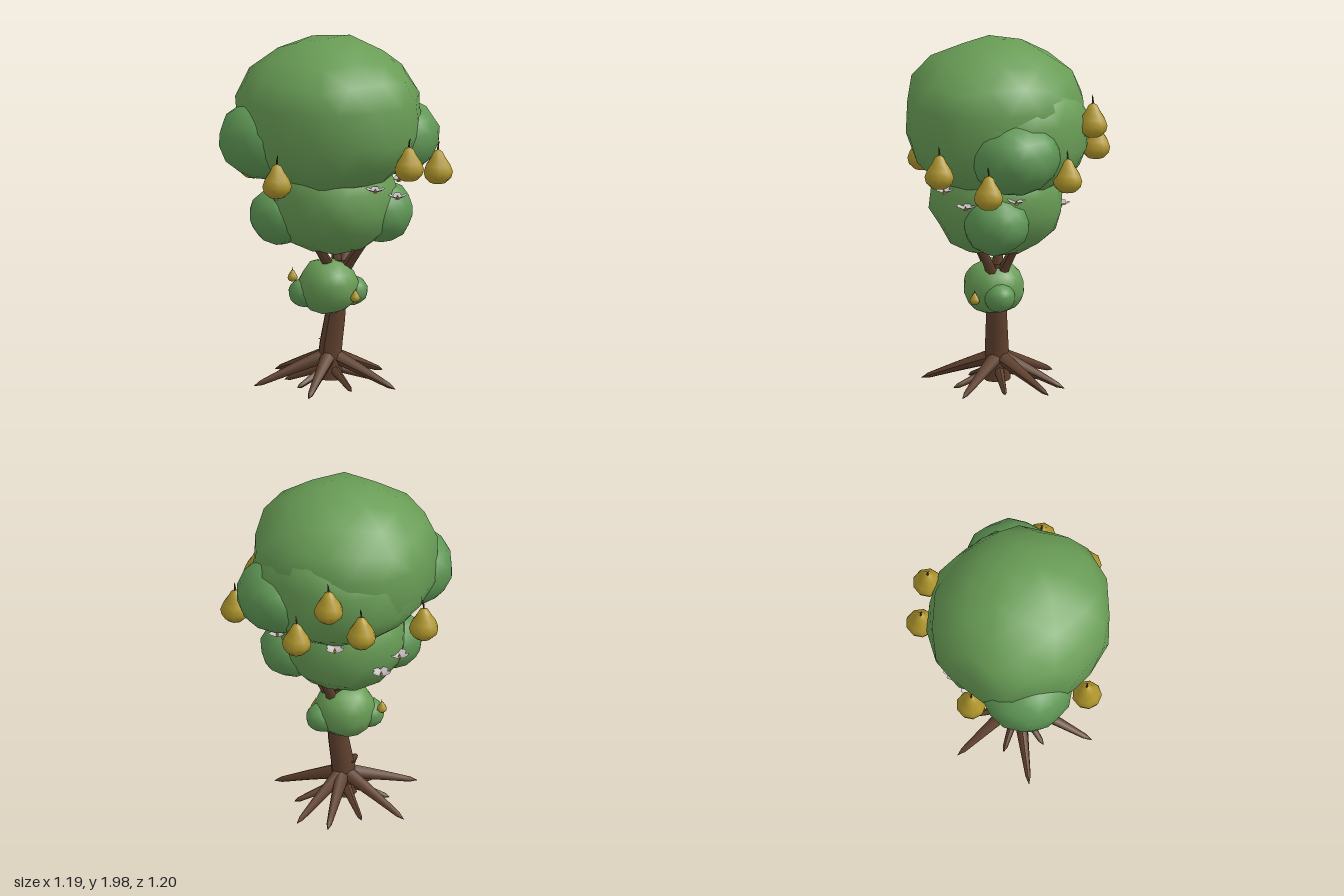
import * as THREE from 'three';
import { mergeVertices } from 'three/addons/utils/BufferGeometryUtils.js';

const mat = (color, side = THREE.FrontSide) => new THREE.MeshStandardMaterial({ color, side });
const V = (a) => new THREE.Vector3(...a);

function seeded(seed) {
  let s = seed;
  return () => {
    s = (s * 16807) % 2147483647;
    return s / 2147483647;
  };
}

// Slightly irregular, smooth-shaded foliage ball; sag < 1 fills out the underside, drop deepens it
function foliageGeometry(radii, seed, sag, drop) {
  const raw = new THREE.IcosahedronGeometry(1, 2).rotateX(-1.0172).rotateY(seed);
  raw.deleteAttribute('normal');
  raw.deleteAttribute('uv');
  const geo = mergeVertices(raw, 1e-4);
  const p = geo.attributes.position;
  const rand = seeded(seed);
  for (let i = 0; i < p.count; i++) {
    const k = 0.97 + rand() * 0.07;
    let y = p.getY(i);
    if (y < 0) y = -Math.pow(-y, sag) * drop;
    p.setXYZ(i, p.getX(i) * radii[0] * k, y * radii[1] * k, p.getZ(i) * radii[2] * k);
  }
  geo.computeVertexNormals();
  return geo;
}

// Tube along a curve whose radius tapers from r0 to r1, optionally closing to a tip
function limbGeometry(points, r0, r1, steps = 8, sides = 8, tip = true) {
  const curve = new THREE.CatmullRomCurve3(points.map(V));
  const geo = new THREE.TubeGeometry(curve, steps, 1, sides);
  const p = geo.attributes.position;
  const v = new THREE.Vector3();
  for (let i = 0; i <= steps; i++) {
    const c = curve.getPointAt(i / steps);
    const r = tip && i === steps ? 0.001 : THREE.MathUtils.lerp(r0, r1, i / steps);
    for (let j = 0; j <= sides; j++) {
      const n = i * (sides + 1) + j;
      v.fromBufferAttribute(p, n).sub(c).multiplyScalar(r).add(c);
      p.setXYZ(n, v.x, v.y, v.z);
    }
  }
  geo.computeVertexNormals();
  return geo;
}

export function createModel() {
  const tree = new THREE.Group();
  const bark = mat(0x5f402d);
  const leaf = mat(0x699d56);
  const lobeLeaf = mat(0x5f9755);
  const pearSkin = mat(0xb0962c);
  const stemMat = mat(0x4a3626);
  const petalMat = mat(0xc4bcbc, THREE.DoubleSide);
  const heartMat = mat(0xc8912e);

  const add = (name, geo, material, pos = [0, 0, 0], parent = tree) => {
    const mesh = new THREE.Mesh(geo, material);
    mesh.name = name;
    mesh.position.set(...pos);
    parent.add(mesh);
    return mesh;
  };

  // Trunk and branches
  const foot = [-0.04, 0.035, 0.005];
  add('trunk', limbGeometry([foot, [-0.035, 0.2, 0.005], [-0.01, 0.42, -0.01], [0, 0.72, -0.02]],
    0.074, 0.046, 10, 10, false), bark);
  add('trunkBase', new THREE.CircleGeometry(0.074, 10).rotateX(Math.PI / 2), bark, foot);
  for (const end of [[0.2, 0.88, -0.03], [-0.04, 0.88, 0.19], [0.01, 0.88, -0.18], [-0.02, 0.9, -0.02]]) {
    const mid = [end[0] * 0.35, 0.7, end[2] * 0.35 - 0.01];
    add('branch', limbGeometry([[0, 0.58, -0.015], mid, end], 0.036, 0.022, 6, 7, false), bark);
  }

  // Long straight roots, then short ones between them
  const roots = [
    [0.375, -0.04], [0.1, 0.425], [-0.33, 0.335], [-0.465, -0.08], [-0.14, -0.38], [0.045, -0.4],
    [0.2, 0.14], [-0.1, 0.24], [-0.28, 0.1], [-0.26, -0.2], [0.17, -0.19],
  ];
  roots.forEach(([x, z], i) => {
    const long = i < 6;
    const top = long ? 0.175 : 0.11;
    const middle = [(x - 0.04) / 2, top * 0.55, z / 2];
    add(long ? 'root' : 'smallRoot',
      limbGeometry([[-0.04, top, 0], middle, [x, 0.012, z]], long ? 0.046 : 0.032, 0.012, 10, 7), bark);
  });

  // Foliage: name, centre, radii, underside fullness, underside depth
  const foliage = [
    ['mainCrown', [-0.035, 1.585, 0.025], [0.52, 0.41, 0.495], 0.72, 1.14],
    ['backCrown', [-0.045, 1.51, -0.05], [0.485, 0.36, 0.465], 0.72, 1.05],
    ['frontCrownLobe', [-0.295, 1.435, 0.28], [0.255, 0.225, 0.258], 1, 1],
    ['backCrownLobe', [0.205, 1.41, -0.275], [0.26, 0.22, 0.255], 1, 1],
    ['lowerCrown', [-0.03, 1.09, 0.005], [0.365, 0.335, 0.375], 0.95, 1],
    ['frontLowerLobe', [-0.235, 0.985, 0.2], [0.178, 0.168, 0.182], 1, 1],
    ['backLowerLobe', [0.2, 1.0, -0.15], [0.182, 0.175, 0.187], 1, 1],
    ['trunkBush', [-0.035, 0.57, 0.025], [0.17, 0.16, 0.17], 0.9, 1],
    ['frontBushLobe', [-0.145, 0.53, 0.1], [0.09, 0.083, 0.09], 1, 1],
    ['backBushLobe', [0.055, 0.535, -0.075], [0.09, 0.083, 0.09], 1, 1],
  ];
  foliage.forEach(([name, pos, radii, sag, drop], i) =>
    add(name, foliageGeometry(radii, 101 + i * 37, sag, drop), name.endsWith('Lobe') ? lobeLeaf : leaf, pos));

  // Pears: x, bottom y, z, scale
  const profile = [[0.001, 0], [0.045, 0.006], [0.075, 0.035], [0.084, 0.07], [0.07, 0.108],
    [0.042, 0.15], [0.026, 0.182], [0.001, 0.197]].map(([r, y]) => new THREE.Vector2(r, y));
  const pearGeo = new THREE.LatheGeometry(profile, 9);
  const stemGeo = limbGeometry([[0, 0.185, 0], [0.002, 0.22, 0], [0.008, 0.245, 0]], 0.006, 0.004, 3, 5);
  const pears = [
    [-0.515, 1.135, 0.065, 1], [-0.05, 1.17, 0.52, 1], [0.51, 1.245, 0.025, 1], [0.49, 1.165, -0.295, 1],
    [-0.005, 1.19, -0.495, 1], [-0.22, 1.47, -0.52, 1], [-0.38, 1.3, -0.43, 1],
    [-0.247, 0.575, 0.07, 0.34], [0.15, 0.5, 0.03, 0.34],
  ];
  for (const [x, y, z, s] of pears) {
    const pear = new THREE.Group();
    pear.name = s < 1 ? 'smallPear' : 'pear';
    pear.position.set(x, y, z);
    pear.scale.setScalar(s);
    add('pearBody', pearGeo, pearSkin, [0, 0, 0], pear);
    add('pearStem', stemGeo, stemMat, [0, 0, 0], pear);
    tree.add(pear);
  }

  // Pale cupped blossoms under the main crown
  const petalShape = new THREE.Shape([[0, 0], [0.024, 0.032], [0.015, 0.058], [-0.015, 0.058], [-0.024, 0.032]]
    .map(([x, y]) => new THREE.Vector2(x, y)));
  const petalGeo = new THREE.ShapeGeometry(petalShape).rotateX(Math.PI / 2 - 0.45);
  const heartGeo = new THREE.ConeGeometry(0.012, 0.026, 6);
  const blossoms = [
    [0.34, 1.17, 0.11], [0.375, 1.105, -0.06], [-0.145, 1.12, 0.385], [-0.41, 1.03, -0.03],
    [-0.38, 0.99, -0.19], [-0.18, 1.18, -0.37], [0.22, 1.14, -0.3],
  ];
  for (const pos of blossoms) {
    const blossom = new THREE.Group();
    blossom.name = 'blossom';
    blossom.position.set(...pos);
    for (let i = 0; i < 5; i++) {
      add('petal', petalGeo, petalMat, [0, 0, 0], blossom).rotation.y = (i * Math.PI * 2) / 5;
    }
    add('blossomHeart', heartGeo, heartMat, [0, 0.01, 0], blossom);
    tree.add(blossom);
  }

  // Tiny sprout on the trunk
  add('sprout', new THREE.ConeGeometry(0.01, 0.045, 4).rotateZ(1.3), lobeLeaf, [-0.1, 0.245, 0]);
  return tree;
}
